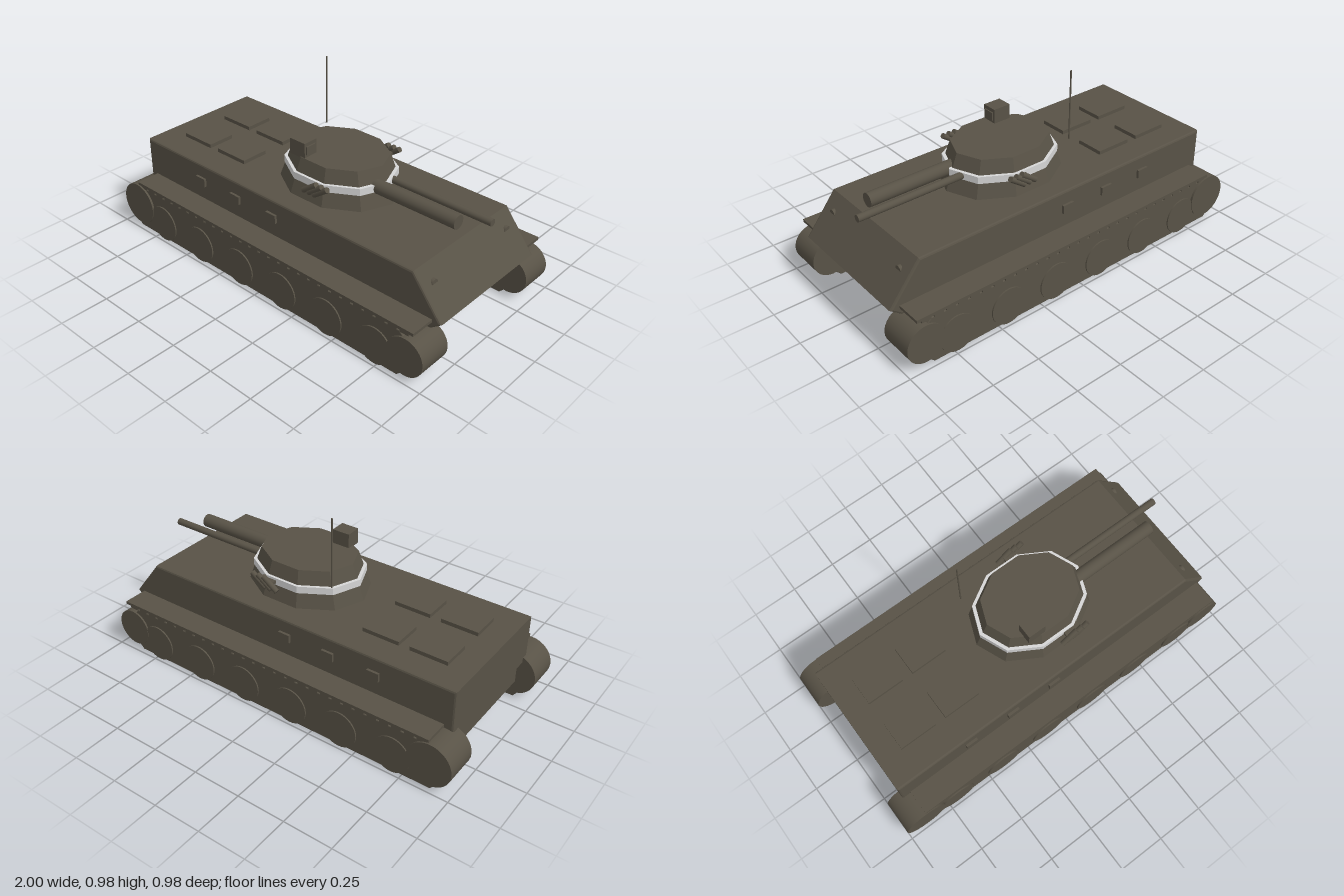
import * as THREE from 'three';

export function createModel() {
  const model = new THREE.Group();
  const paint = new THREE.MeshStandardMaterial({ color: 0x585246 });
  paint.name = 'olive drab';
  const white = new THREE.MeshStandardMaterial({ color: 0xd6d6d6 });
  white.name = 'pale band';

  function add(name, geo, x = 0, y = 0, z = 0, mat = paint) {
    const mesh = new THREE.Mesh(geo, mat);
    mesh.name = name;
    mesh.position.set(x, y, z);
    model.add(mesh);
    return mesh;
  }

  // box given by its limits on each axis
  function box(name, x0, x1, y0, y1, z0, z1) {
    return add(name, new THREE.BoxGeometry(x1 - x0, y1 - y0, z1 - z0),
      (x0 + x1) / 2, (y0 + y1) / 2, (z0 + z1) / 2);
  }

  // side profile extruded across z, with softened edges
  function slab(name, points, z0, z1, bevel) {
    const shape = new THREE.Shape(points.map(([x, y]) => new THREE.Vector2(x, y)));
    const geo = new THREE.ExtrudeGeometry(shape, {
      depth: z1 - z0 - 2 * bevel, bevelEnabled: bevel > 0,
      bevelThickness: bevel, bevelSize: bevel, bevelOffset: -bevel, bevelSegments: 2,
    });
    return add(name, geo, 0, 0, z0 + bevel);
  }

  // wheel or drum with its axle along z
  function drum(name, r, x, y, z0, z1) {
    const geo = new THREE.CylinderGeometry(r, r, z1 - z0, 32).rotateX(Math.PI / 2);
    return add(name, geo, x, y, (z0 + z1) / 2);
  }

  // rod along x
  function rod(name, r, x0, x1, y, z) {
    const geo = new THREE.CylinderGeometry(r, r, x1 - x0, 24).rotateZ(-Math.PI / 2);
    return add(name, geo, (x0 + x1) / 2, y, z);
  }

  // ten-sided oval frustum with flat facets
  function decagon(name, rTop, rBase, y0, y1, mat) {
    const geo = new THREE.CylinderGeometry(rTop, rBase, y1 - y0, 10, 1, false, Math.PI / 2)
      .scale(1, 1, 0.805).toNonIndexed();
    geo.computeVertexNormals();
    return add(name, geo, 0.108, (y0 + y1) / 2, 0, mat);
  }

  // hull
  slab('upperHull', [[-0.925, 0.225], [0.93, 0.225], [0.985, 0.268], [0.825, 0.47], [-0.925, 0.47]],
    -0.356, 0.356, 0.01);
  slab('lowerHull', [[-0.9, 0.1], [0.775, 0.1], [0.93, 0.23], [-0.9, 0.23]], -0.313, 0.313, 0);

  // rear deck hatches
  for (const x of [-0.8, -0.548])
    for (const z of [-0.215, 0.058]) box('deckHatch', x, x + 0.195, 0.465, 0.49, z, z + 0.15);

  // running gear and side fittings, mirrored
  for (const s of [-1, 1]) {
    const span = (a, b) => (s > 0 ? [a, b] : [-b, -a]);
    slab('track', [[-0.93, 0.05], [-0.895, 0.006], [0.855, 0.006], [0.91, 0.06], [0.91, 0.2],
      [0.86, 0.25], [-0.87, 0.25], [-0.93, 0.2]], ...span(0.316, 0.477), 0.004);
    drum('driveSprocket', 0.114, -0.886, 0.146, ...span(0.313, 0.488));
    drum('idlerWheel', 0.098, 0.898, 0.133, ...span(0.31, 0.486));
    for (let i = 0; i < 6; i++)
      drum('roadWheel', 0.096, -0.695 + i * 0.285, 0.099, ...span(0.316, 0.484));
    box('fender', -0.878, 0.938, 0.263, 0.278, ...span(0.31, 0.484));
    for (let i = 0; i < 28; i++) {
      const x = -0.865 + i * 0.064;
      box('trackLink', x, x + 0.048, 0.248, 0.265, ...span(0.325, 0.48));
    }
    for (const x of [-0.51, -0.26, -0.01])
      box('sidePort', x - 0.032, x + 0.032, 0.356, 0.4, ...span(0.35, 0.369));
    rod('headlight', 0.02, 0.84, 0.885, 0.395, s * 0.276);

    // tilted launcher tubes beside the turret
    for (let i = -1; i <= 1; i++) {
      const tube = add('launcherTube', new THREE.CylinderGeometry(0.014, 0.014, 0.1, 16),
        0.183 + i * 0.033, 0.562, s * 0.262);
      tube.rotation.z = -0.96;
    }
    box('launcherBracket', 0.14, 0.225, 0.553, 0.569, ...span(0.2, 0.262));
  }

  // turret
  decagon('turret', 0.255, 0.324, 0.465, 0.65, paint);
  decagon('turretBand', 0.299, 0.299, 0.544, 0.58, white);
  rod('mainGun', 0.035, 0.3, 0.825, 0.562, 0.042);
  rod('coaxialGun', 0.018, 0.3, 0.936, 0.562, -0.055);
  box('sight', -0.043, 0.052, 0.645, 0.725, 0.112, 0.192);
  box('sightWindow', 0.05, 0.058, 0.663, 0.706, 0.122, 0.183);
  add('antenna', new THREE.CylinderGeometry(0.004, 0.004, 0.36, 8), -0.162, 0.802, -0.192);

  return model;
}
